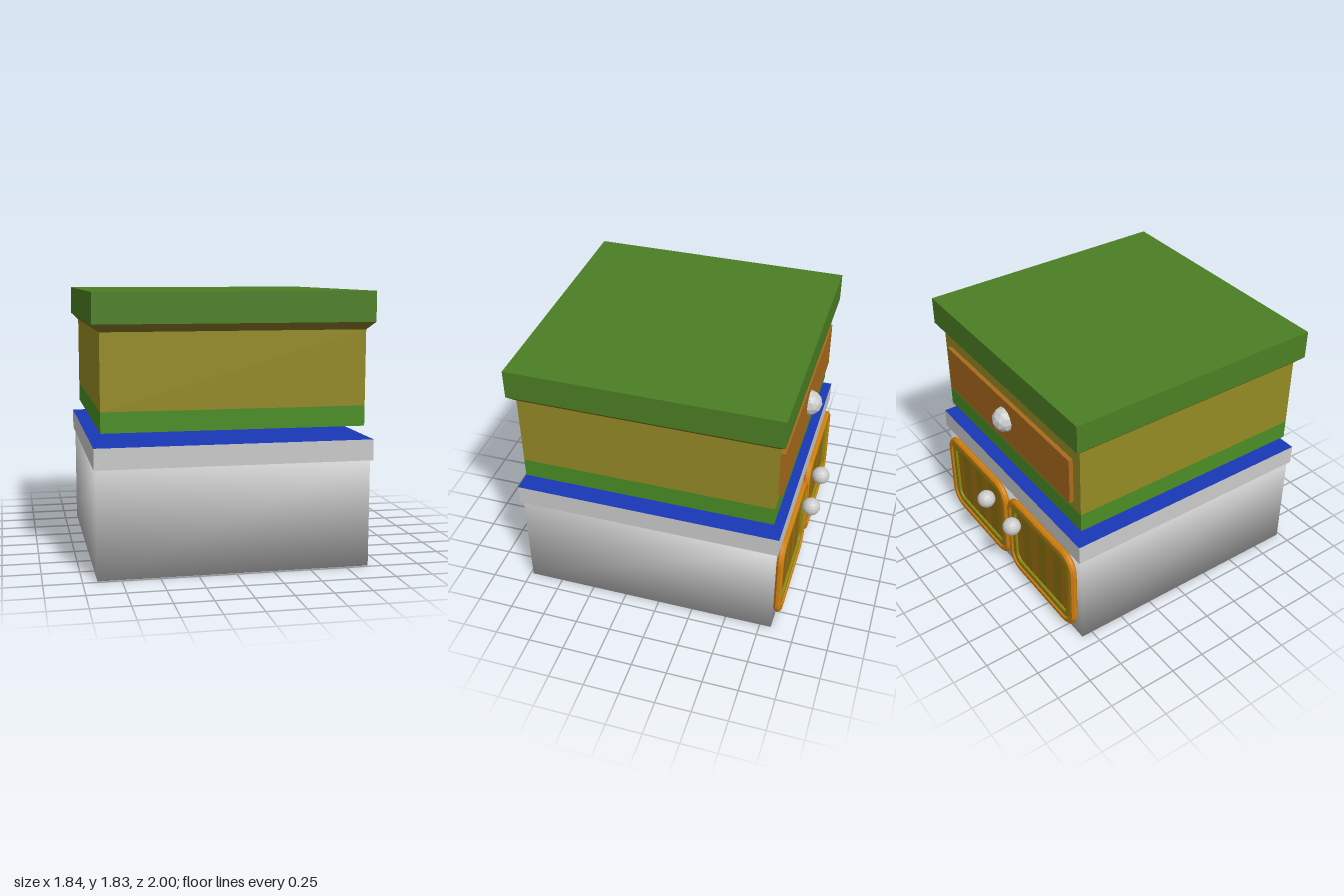
import * as THREE from 'three';
import { mergeVertices } from 'three/addons/utils/BufferGeometryUtils.js';

const mat = (color, flatShading = true) => new THREE.MeshStandardMaterial({ color, flatShading });
const GREY = mat(0xcccccc), SMOOTH = mat(0xcccccc, false), OLIVE = mat(0x958a25), GREEN = mat(0x4a8e25),
  TOP = mat(0x4c7f24), CHAMFER = mat(0x7d7022), BLUE = mat(0x1a38b8), DRAWER = mat(0xaa6a1c),
  FRAME = mat(0xd0800f), TRIM = mat(0x8f8a12), PLANK_A = mat(0xa0700f), PLANK_B = mat(0x8a700f);

const ZC = 0.075; // centre of the cabinet in depth, leaving room for the knobs behind

function add(parent, name, geometry, material, x = 0, y = 0, z = 0) {
  const m = new THREE.Mesh(geometry, material);
  m.name = name;
  m.position.set(x, y, z);
  parent.add(m);
  return m;
}

// block between two heights, optionally wider at the top by "flare" on each side
function block(w, d, y0, y1, flare = 0) {
  const g = new THREE.BoxGeometry(w, y1 - y0, d);
  const p = g.attributes.position;
  for (let i = 0; i < p.count; i++) {
    if (p.getY(i) > 0) {
      p.setX(i, p.getX(i) + Math.sign(p.getX(i)) * flare);
      p.setZ(i, p.getZ(i) + Math.sign(p.getZ(i)) * flare);
    }
  }
  g.translate(0, (y0 + y1) / 2, ZC);
  g.computeVertexNormals();
  return g;
}

function roundedRect(target, w, h, r) {
  const x = w / 2 - r, y = h / 2 - r;
  target.absarc(x, y, r, 0, Math.PI / 2);
  target.absarc(-x, y, r, Math.PI / 2, Math.PI);
  target.absarc(-x, -y, r, Math.PI, Math.PI * 1.5);
  target.absarc(x, -y, r, Math.PI * 1.5, Math.PI * 2);
  target.closePath();
  return target;
}

// rounded frame of a given bar width, its back on z = 0
function ring(w, h, r, bar, depth, bevel) {
  const shape = roundedRect(new THREE.Shape(), w - 2 * bevel, h - 2 * bevel, r - bevel);
  const inner = bar - bevel;
  shape.holes.push(roundedRect(new THREE.Path(), w - 2 * inner, h - 2 * inner, Math.max(r - inner, 0.03)));
  const g = new THREE.ExtrudeGeometry(shape, {
    depth: depth - 2 * bevel, bevelEnabled: true, bevelSize: bevel, bevelThickness: bevel,
    bevelSegments: 1, curveSegments: 5,
  });
  return g.translate(0, 0, bevel);
}

function door(side) {
  const g = new THREE.Group();
  g.name = side > 0 ? 'leftDoor' : 'rightDoor';
  const w = 0.855, h = 0.66, r = 0.14;
  add(g, 'doorFrame', ring(w, h, r, 0.055, 0.047, 0.014), FRAME);
  add(g, 'doorTrim', ring(w - 0.08, h - 0.08, r - 0.03, 0.055, 0.036, 0.008), TRIM);
  // plank panel
  const n = 7, pw = (w - 0.16) / n;
  for (let i = 0; i < n; i++) {
    add(g, 'doorPlank', new THREE.BoxGeometry(pw, h - 0.16, 0.02), i % 2 ? PLANK_B : PLANK_A,
      (i - (n - 1) / 2) * pw, 0, 0.01);
  }
  g.position.set(side * 0.437, 0.37, -0.83);
  g.rotation.y = Math.PI;
  return g;
}

export function createModel() {
  const model = new THREE.Group();
  model.name = 'cabinet';

  // lower cabinet with softly shaded corners
  let base = block(1.81, 1.81, 0, 0.72);
  base.deleteAttribute('normal');
  base.deleteAttribute('uv');
  base = mergeVertices(base);
  base.computeVertexNormals();
  add(model, 'lowerCabinet', base, SMOOTH);

  // counter slab with a blue upper face
  add(model, 'counter', block(1.84, 1.85, 0.72, 0.86), [GREY, GREY, BLUE, GREY, GREY, GREY]);

  // upper drawer box, floating above the counter
  add(model, 'plinth', block(1.74, 1.75, 0.945, 1.08), GREEN);
  add(model, 'upperBody', block(1.74, 1.75, 1.08, 1.58), OLIVE);
  add(model, 'topChamfer', block(1.74, 1.75, 1.58, 1.63, 0.05), CHAMFER);
  add(model, 'topSlab', block(1.84, 1.85, 1.63, 1.83), TOP);

  // drawer on the back
  add(model, 'drawerFront', new THREE.BoxGeometry(1.58, 0.34, 0.04), DRAWER, 0, 1.31, -0.81);
  add(model, 'drawerKnob', new THREE.IcosahedronGeometry(0.09, 1), GREY, 0, 1.325, -0.83);

  // pair of doors and their knobs
  for (const side of [-1, 1]) {
    model.add(door(side));
    add(model, 'doorKnob', new THREE.IcosahedronGeometry(0.066, 2), GREY, side * 0.18, 0.54, -0.934);
  }
  return model;
}
